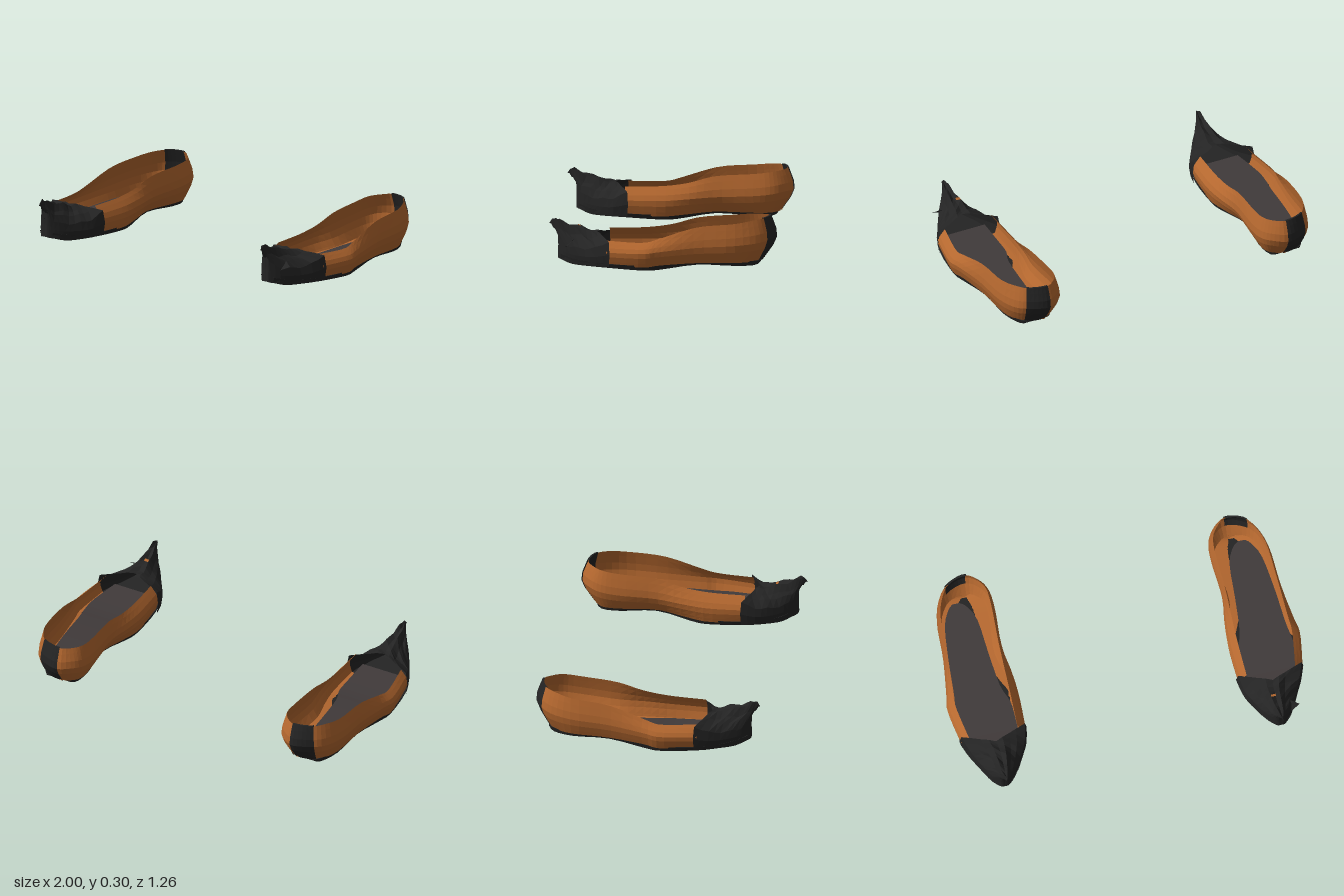
import * as THREE from 'three';

const mat = (name, color) => {
  const m = new THREE.MeshStandardMaterial({ color, flatShading: true, side: THREE.DoubleSide });
  m.name = name;
  return m;
};

// Catmull-Rom through table rows, t in row units
function sample(rows, t) {
  const n = rows.length - 1;
  const i = Math.min(Math.floor(t), n - 1), f = t - i;
  const row = (k) => rows[Math.max(0, Math.min(n, k))];
  const [a, b, c, d] = [row(i - 1), row(i), row(i + 1), row(i + 2)];
  return b.map((_, k) => 0.5 * (2 * b[k] + (c[k] - a[k]) * f
    + (2 * a[k] - 5 * b[k] + 4 * c[k] - d[k]) * f * f
    + (3 * b[k] - a[k] - 3 * c[k] + d[k]) * f * f * f));
}

// Faceted skin over a grid of [x, y, z] points; side mirrors it in x
function skin(name, grid, material, side) {
  const w = grid[0].length, index = [];
  for (let i = 0; i < grid.length - 1; i++) {
    for (let j = 0; j < w - 1; j++) {
      const a = i * w + j, b = a + 1, c = a + w, d = c + 1;
      if (side > 0) index.push(a, b, c, b, d, c);
      else index.push(a, c, b, b, c, d);
    }
  }
  const pos = grid.flat().flatMap(([x, y, z]) => [x * side, y, z]);
  let g = new THREE.BufferGeometry();
  g.setAttribute('position', new THREE.Float32BufferAttribute(pos, 3));
  g.setIndex(index);
  g = g.toNonIndexed();
  g.computeVertexNormals();
  const mesh = new THREE.Mesh(g, material);
  mesh.name = name;
  return mesh;
}

const steps = (n, a, b) => Array.from({ length: n + 1 }, (_, i) => a + (b - a) * i / n);

// Wall curves from the front inner end, round the heel, to the front outer end
const base = [
  [.62, .05, .3], [.612, .04, .1], [.64, .05, -.05], [.675, .06, -.2], [.655, .06, -.4],
  [.66, .06, -.49], [.69, .06, -.53], [.74, .06, -.555], [.83, .06, -.54], [.88, .06, -.49],
  [.915, .06, -.4], [.93, .06, -.2], [.96, .05, 0], [.978, .04, .1], [.95, .05, .3]];
const middle = [
  [.603, .13, .3], [.595, .13, .1], [.605, .14, -.05], [.625, .15, -.2], [.613, .16, -.4],
  [.62, .17, -.51], [.66, .18, -.58], [.74, .18, -.628], [.84, .18, -.595], [.905, .17, -.53],
  [.945, .16, -.4], [.957, .15, -.2], [.985, .13, 0], [1, .12, .1], [.968, .12, .3]];
const rim = [
  [.65, .2, .3], [.645, .205, .1], [.645, .225, -.05], [.645, .265, -.2], [.637, .28, -.4],
  [.645, .29, -.5], [.685, .295, -.56], [.74, .3, -.595], [.83, .3, -.573], [.885, .295, -.51],
  [.925, .28, -.4], [.938, .262, -.2], [.95, .2, 0], [.955, .175, .1], [.925, .18, .3]];
const wallPoint = (t, v) => sample([sample(base, t), sample(middle, t), sample(rim, t)], v * 2);

// z, inner x, outer x, bottom y, top y
const soleRows = [
  [-.55, .73, .84, .06, .066], [-.515, .675, .87, .04, .066], [-.4, .655, .915, .043, .066],
  [-.2, .675, .93, .05, .066], [0, .63, .96, .025, .056], [.1, .612, .978, .022, .05],
  [.3, .612, .962, .033, .055], [.42, .65, .91, .033, .06], [.5, .69, .87, .036, .07],
  [.56, .74, .83, .055, .085]];
// z, inner x, outer x, y
const insoleRows = [
  [-.52, .79, .83, .084], [-.49, .755, .86, .084], [-.4, .715, .9, .084], [-.2, .7, .925, .084],
  [0, .68, .94, .076], [.1, .645, .955, .068], [.2, .64, .955, .068], [.38, .64, .92, .074]];
// edge z, centre z, inner x, outer x, bottom y, side y, top y
const toeRows = [
  [.28, .36, .594, .976, .04, .178, .205], [.36, .4, .612, .945, .04, .14, .207],
  [.42, .46, .642, .912, .04, .13, .228], [.48, .53, .68, .88, .045, .13, .243],
  [.53, .58, .715, .85, .05, .14, .265], [.565, .61, .75, .815, .055, .17, .275],
  [.575, .625, .768, .8, .06, .2, .258], [.575, .625, .784, .784, .06, .2, .25]];

// Half section of the toe: position across, height from bottom (0) to side (1) to top (2)
const toeHalf = [[.95, 0], [1, .5], [.94, 1], [.65, 1.4], [.42, 1.6], [.2, 2]];
const toeSection = [...toeHalf.map(([u, h]) => [-u, h]), [0, 1.9], ...toeHalf.slice().reverse()];

function toePoint(t, [u, h], j) {
  const [ze, zc, xi, xo, y0, ys, yt] = sample(toeRows, t);
  const crumple = 0.006 * Math.sin(t * 9 + j * 4.3) * Math.min(t, 1);
  const y = h < 1 ? y0 + (ys - y0) * h : ys + (yt - ys) * (h - 1);
  return [(xi + xo) / 2 + u * (xo - xi) / 2, y + (h > 0.5 ? crumple : 0),
    ze + (zc - ze) * (1 - Math.abs(u))];
}

function makeShoe(side, m) {
  const shoe = new THREE.Group();
  shoe.name = side > 0 ? 'leftShoe' : 'rightShoe';
  const add = (name, grid, material) => shoe.add(skin(name, grid, material, side));

  // Curved side and heel wall
  add('upperWall', steps(48, 0, 14).map((t) => steps(6, 0, 1).map((v) => wallPoint(t, v))), m.leather);

  // Sole slab, closed round its section
  add('sole', steps(27, 0, 9).map((t) => {
    const [z, a, b, y0, y1] = sample(soleRows, t);
    return [[a, y1, z], [a + .008, y0, z], [b - .008, y0, z], [b, y1, z], [a, y1, z]];
  }), m.black);

  // Lining joining the two sides of the wall under the insole
  add('lining', steps(24, 0, 7).map((t) => {
    const a = wallPoint(t, .1), b = wallPoint(14 - t, .1);
    const mid = a.map((p, k) => (p + b[k]) / 2);
    mid[1] -= .014;
    return [a, mid, b];
  }), m.leather);

  add('insole', steps(21, 0, 7).map((t) => {
    const [z, a, b, y] = sample(insoleRows, t);
    return [[a, y, z], [b, y, z]];
  }), m.grey);

  // Pointed, upturned toe
  add('toeCap', steps(14, 0, 7).map((t) => toeSection.map((p, j) => toePoint(t, p, j))), m.black);

  // Heel strip folded over the rim
  const around = (p, s, dy) => [.78 + (p[0] - .78) * s, p[1] + dy, -.4 + (p[2] + .4) * s];
  add('heelStrip', steps(6, 6.93, 8.25).map((t) => [
    ...steps(6, 0, 1).map((v) => around(wallPoint(t, v), 1.025, v * .004)),
    ...steps(4, 1, .35).map((v) => around(wallPoint(t, v), .97, v * .004))]), m.black);

  // Loose pointed scrap and a tan chip on one toe
  if (side > 0) {
    add('toeScrap', [[[.82, .17, .46], [.84, .12, .53]], [[.86, .17, .49], [.86, .13, .53]],
      [[.9, .15, .51], [.9, .148, .512]]], m.black);
    add('toeChip', [[[.752, .232, .453], [.752, .238, .468]], [[.778, .234, .453], [.778, .24, .468]]],
      m.leather);
  }
  return shoe;
}

export function createModel() {
  const m = {
    leather: mat('tan leather', 0xb5682f),
    black: mat('black', 0x242424),
    grey: mat('dark grey insole', 0x403a3a),
  };
  const model = new THREE.Group();
  model.name = 'pairOfShoes';
  const left = makeShoe(1, m), right = makeShoe(-1, m);
  left.position.y = -.003;
  right.position.y = -.02;
  model.add(left, right);
  return model;
}
